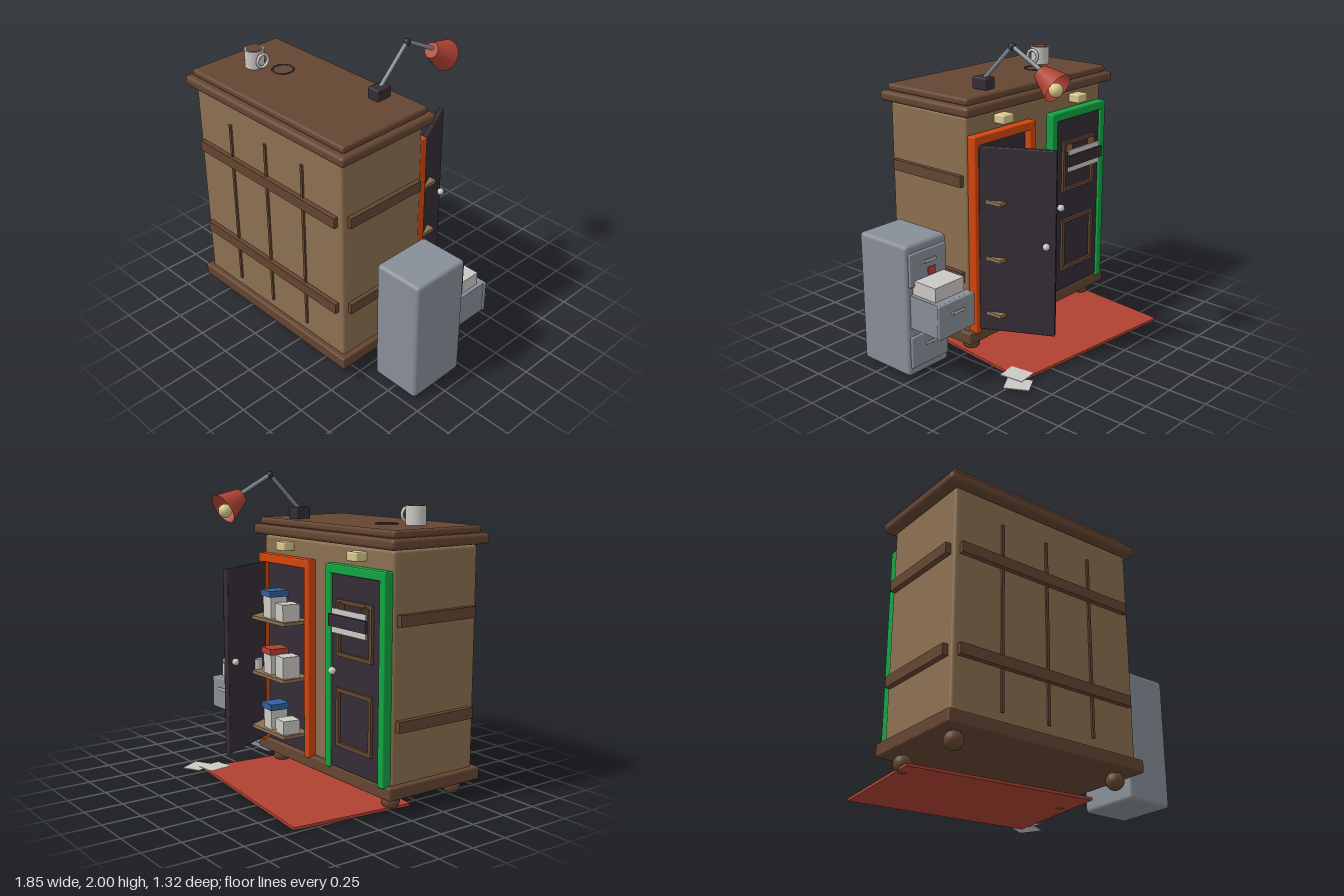
import * as THREE from 'three';
import { RoundedBoxGeometry } from 'three/addons/geometries/RoundedBoxGeometry.js';

const paint = (name, color) => {
  const m = new THREE.MeshStandardMaterial({ color });
  m.name = name;
  return m;
};

export function createModel() {
  const model = new THREE.Group();
  model.name = 'cabinetScene';
  const tan = paint('tanWood', 0x8b7050), brown = paint('darkWood', 0x644531);
  const red = paint('red', 0xb04232), orange = paint('orange', 0xd2450c);
  const green = paint('green', 0x10a441), dark = paint('charcoal', 0x352d36);
  const grey = paint('steel', 0x888e98), light = paint('paper', 0xcbc9c4);
  const cream = paint('cream', 0xd8c88c), blue = paint('blue', 0x2f619f);

  const put = (name, geo, mat, p, parent = model) => {
    const m = new THREE.Mesh(geo, mat);
    m.name = name;
    m.position.set(...p);
    parent.add(m);
    return m;
  };
  // Box given by its limits on each axis; r rounds the edges
  const box = (name, mat, [x0, x1], [y0, y1], [z0, z1], r = 0, parent = model) => {
    const s = [x1 - x0, y1 - y0, z1 - z0];
    const geo = r ? new RoundedBoxGeometry(...s, 3, r) : new THREE.BoxGeometry(...s);
    return put(name, geo, mat, [(x0 + x1) / 2, (y0 + y1) / 2, (z0 + z1) / 2], parent);
  };
  const ball = (name, mat, r, p, parent = model) =>
    put(name, new THREE.SphereGeometry(r, 20, 14), mat, p, parent);
  // Cylinder or cone running from a to b
  const rod = (name, mat, a, b, ra, rb = ra, open = false) => {
    const A = new THREE.Vector3(...a), B = new THREE.Vector3(...b), d = B.clone().sub(A);
    const m = put(name, new THREE.CylinderGeometry(rb, ra, d.length(), 20, 1, open), mat,
      A.clone().add(B).multiplyScalar(0.5).toArray());
    m.quaternion.setFromUnitVectors(new THREE.Vector3(0, 1, 0), d.normalize());
    return m;
  };

  // Cabinet carcass
  box('body', tan, [-0.865, 0.47], [0.17, 1.575], [-0.05, 0.61], 0.02);
  box('base', brown, [-0.9, 0.505], [0.1, 0.182], [-0.09, 0.645], 0.012);
  box('topLower', brown, [-0.925, 0.525], [1.58, 1.647], [-0.11, 0.655], 0.025);
  box('topUpper', brown, [-0.888, 0.49], [1.645, 1.692], [-0.075, 0.618], 0.018);
  for (const x of [-0.78, 0.38]) for (const z of [0.02, 0.52]) ball('foot', brown, 0.057, [x, 0.057, z]);

  // Bands and plank strips
  for (const y of [[0.505, 0.575], [1.135, 1.205]]) {
    box('longBand', brown, [-0.83, 0.43], y, [0.6, 0.64]);
    box('sideBand', brown, [0.46, 0.5], y, [-0.02, 0.57]);
    box('sideBand', brown, [-0.9, -0.86], y, [-0.02, 0.57]);
  }
  for (const x of [-0.53, -0.2, 0.133]) box('strip', brown, [x - 0.009, x + 0.009], [0.245, 1.43], [0.6, 0.622]);

  // Door frames with a lamp over each
  const doorway = (name, cx, mat) => {
    box(name + 'Lintel', mat, [cx - 0.285, cx + 0.285], [1.4, 1.457], [-0.108, -0.04], 0.008);
    for (const s of [-1, 1]) {
      const x = cx + s * 0.259;
      box(name + 'Jamb', mat, [x - 0.026, x + 0.026], [0.17, 1.43], [-0.107, -0.04], 0.008);
    }
    box(name + 'Light', cream, [cx - 0.05, cx + 0.05], [1.493, 1.55], [-0.13, -0.045], 0.01);
  };
  const cxA = 0.175, cxB = -0.57;
  doorway('orangeFrame', cxA, orange);
  doorway('greenFrame', cxB, green);
  box('interior', dark, [cxA - 0.236, cxA + 0.236], [0.182, 1.4], [-0.06, -0.045]);

  // Closed door with moulded panels and hanging plate
  box('closedDoor', dark, [cxB - 0.236, cxB + 0.236], [0.185, 1.4], [-0.09, -0.045]);
  for (const [y0, y1] of [[0.33, 0.7], [0.9, 1.25]]) {
    for (const y of [y0, y1 - 0.025]) box('panelTrim', brown, [cxB - 0.17, cxB + 0.17], [y, y + 0.025], [-0.108, -0.085]);
    for (const x of [cxB - 0.17, cxB + 0.145]) box('panelTrim', brown, [x, x + 0.025], [y0, y1], [-0.108, -0.085]);
  }
  ball('closedDoorKnob', light, 0.025, [cxB + 0.2, 0.8, -0.115]);
  box('signPlate', light, [cxB - 0.165, cxB + 0.165], [1.05, 1.2], [-0.148, -0.138]);
  box('signBand', dark, [cxB - 0.18, cxB + 0.18], [1.09, 1.165], [-0.163, -0.147]);
  for (const s of [-1, 1]) box('signHanger', brown, [cxB + s * 0.12 - 0.008, cxB + s * 0.12 + 0.008], [1.17, 1.235], [-0.145, -0.09]);

  // Open door, swung out on its hinge
  const door = new THREE.Group();
  door.name = 'openDoor';
  door.position.set(0.415, 0, -0.1);
  door.rotation.y = -1.1;
  model.add(door);
  box('doorLeaf', dark, [-0.48, 0], [0.2, 1.4], [-0.018, 0.018], 0.006, door);
  for (const s of [-1, 1]) ball('openDoorKnob', light, 0.023, [-0.425, 0.8, s * 0.035], door);

  // Shelves with boxes: [shelf height, lidded box height, lid colour, plain box height]
  for (const [y, h, lid, h2] of [[1.065, 0.14, blue, 0.11], [0.697, 0.13, red, 0.14], [0.328, 0.13, blue, 0.09]]) {
    box('shelf', tan, [-0.06, 0.41], [y - 0.022, y], [-0.26, -0.05]);
    const parts = [
      box('storedBox', light, [0.115, 0.225], [y, y + h], [-0.23, -0.115]),
      box('boxLid', lid, [0.105, 0.235], [y + h, y + h + 0.04], [-0.24, -0.105]),
    ];
    for (const b of parts) b.rotation.y = -0.12;
    box('plainBox', light, [-0.04, 0.075], [y, y + h2], [-0.24, -0.12]).rotation.y = -0.15;
  }
  rod('jar', light, [0.345, 0.697, -0.2], [0.345, 0.765, -0.2], 0.035);

  // Filing cabinet
  box('filingCabinet', grey, [0.58, 0.92], [0.005, 0.86], [0.03, 0.442], 0.025);
  const drawerFront = (y0, y1, z) => {
    box('drawerFront', grey, [0.597, 0.903], [y0, y1], [z, z + 0.025], 0.01);
    const y = y0 + (y1 - y0) * 0.68;
    box('drawerHandle', light, [0.7, 0.8], [y - 0.01, y + 0.01], [z - 0.018, z - 0.008], 0.004);
    for (const x of [0.71, 0.79]) box('handlePost', light, [x - 0.006, x + 0.006], [y - 0.006, y + 0.006], [z - 0.012, z + 0.005]);
  };
  drawerFront(0.06, 0.27, 0.013);
  drawerFront(0.595, 0.81, 0.013);
  drawerFront(0.325, 0.545, -0.222);
  box('drawerTray', grey, [0.605, 0.895], [0.33, 0.545], [-0.205, 0.04]);
  box('paperStack', light, [0.625, 0.87], [0.54, 0.635], [-0.16, 0.035]);
  box('redTag', red, [0.7, 0.76], [0.64, 0.69], [0.006, 0.014]);

  // Desk lamp
  box('lampBase', dark, [0.163, 0.25], [1.69, 1.767], [-0.005, 0.108], 0.01);
  const x = 0.206;
  rod('lowerArm', grey, [x, 1.75, 0.05], [x, 1.98, -0.18], 0.013);
  rod('upperArm', grey, [x, 1.98, -0.18], [x, 1.855, -0.42], 0.013);
  ball('elbow', dark, 0.023, [x, 1.977, -0.18]);
  const shade = rod('lampShade', red, [x, 1.775, -0.53], [x, 1.85, -0.4], 0.1, 0.05, true);
  shade.material = red;
  red.side = THREE.DoubleSide;
  rod('shadeCap', red, [x, 1.845, -0.408], [x, 1.85, -0.4], 0.051, 0.05);
  ball('bulb', cream, 0.043, [x, 1.762, -0.515]);

  // Mug and coffee stain
  rod('mug', light, [-0.645, 1.69, 0.305], [-0.645, 1.81, 0.305], 0.063);
  rod('coffee', brown, [-0.645, 1.8, 0.305], [-0.645, 1.813, 0.305], 0.054);
  put('mugHandle', new THREE.TorusGeometry(0.042, 0.01, 10, 24), light, [-0.565, 1.752, 0.305]).rotation.y = Math.PI / 2;
  put('coffeeRing', new THREE.TorusGeometry(0.067, 0.006, 8, 32), dark, [-0.48, 1.692, 0.215]).rotation.x = Math.PI / 2;

  // Rug and loose sheets
  const rug = put('rug', new THREE.BoxGeometry(1.26, 0.018, 0.8), red, [-0.157, 0.018, -0.197]);
  rug.rotation.y = -0.105;
  put('looseSheet', new THREE.BoxGeometry(0.13, 0.006, 0.16), light, [0.57, 0.022, -0.545]).rotation.y = 0.5;
  put('looseSheet', new THREE.BoxGeometry(0.13, 0.006, 0.16), light, [0.485, 0.025, -0.46]).rotation.y = 0.12;

  return model;
}
